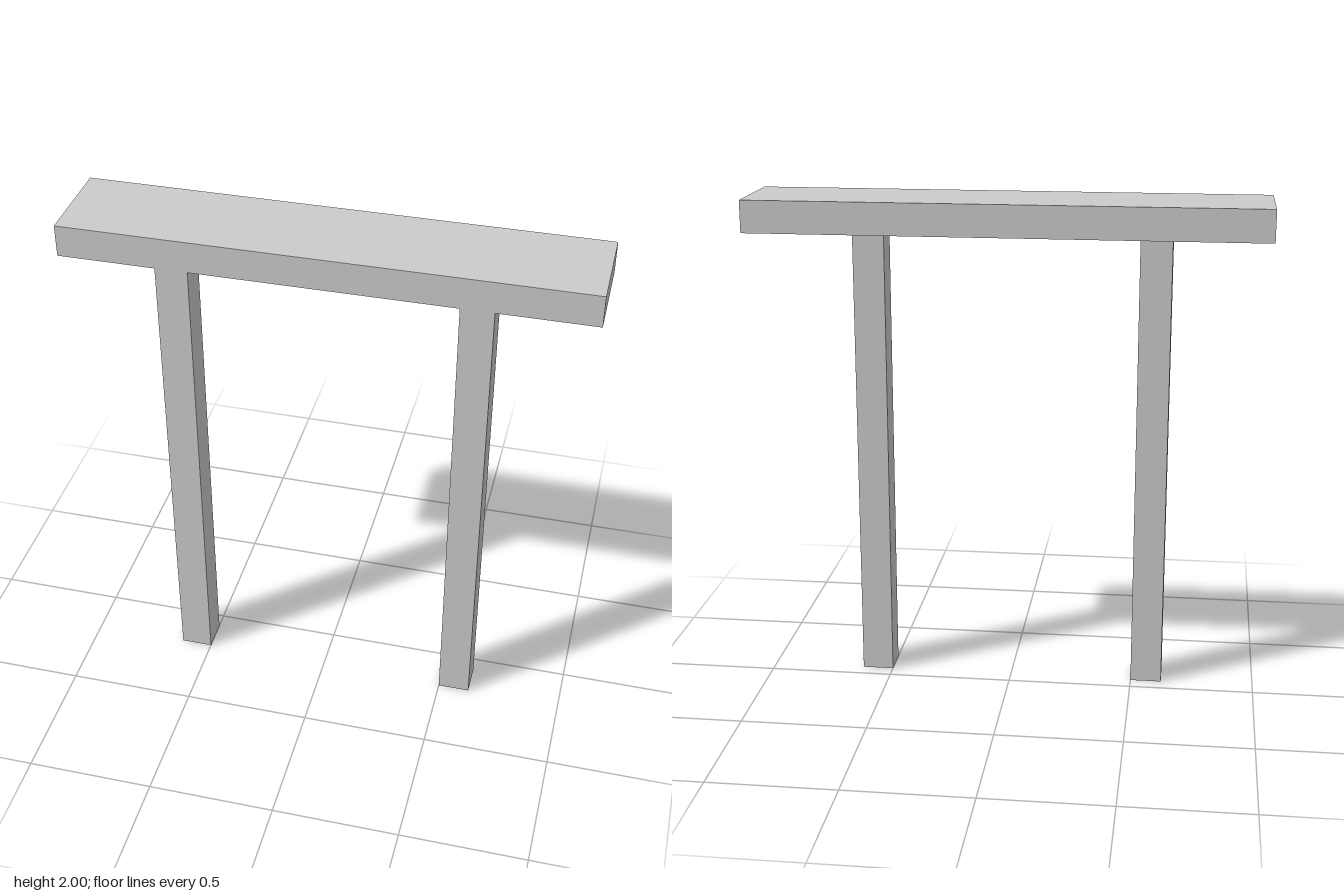
import * as THREE from 'three';

const HEIGHT = 2;
const THICK = 0.125; // beam height and post width
const DEPTH = 0.375;

export function createModel() {
  const group = new THREE.Group();
  group.name = 'postAndBeamFrame';
  const material = new THREE.MeshStandardMaterial({ color: 0xcccccc, flatShading: true });

  const addBox = (name, size, position) => {
    const mesh = new THREE.Mesh(new THREE.BoxGeometry(...size), material);
    mesh.name = name;
    mesh.position.set(...position);
    group.add(mesh);
  };

  // Top beam
  addBox('topBeam', [2, THICK, DEPTH], [0, HEIGHT - THICK / 2, 0]);

  // Two posts, flush with the front of the beam
  const postHeight = HEIGHT - THICK;
  for (const [name, side] of [['leftPost', 1], ['rightPost', -1]]) {
    addBox(name, [THICK, postHeight, THICK], [side * 0.5625, postHeight / 2, (DEPTH - THICK) / 2]);
  }

  return group;
}
